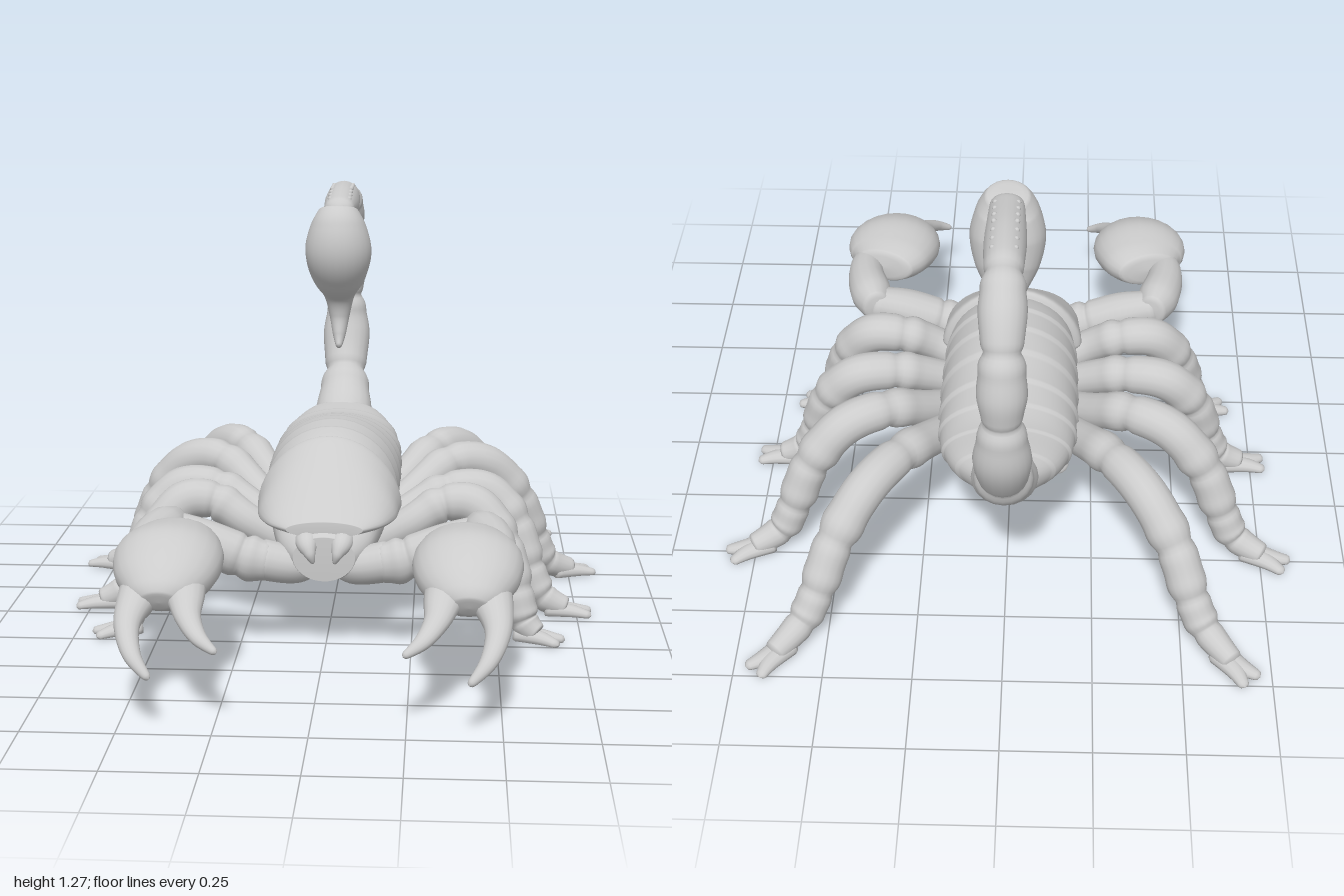
import * as THREE from 'three';

const V = (x, y, z) => new THREE.Vector3(x, y, z);
const UP = V(0, 1, 0), X = V(1, 0, 0);
const material = new THREE.MeshStandardMaterial({ color: 0xcccccc });

// Smooth interpolation through rows of numbers; u runs from 0 to rows.length - 1
function sample(rows, u) {
  const n = rows.length - 1, i = Math.min(Math.floor(u), n - 1), t = u - i;
  const [a, b, c, d] = [-1, 0, 1, 2].map(k => rows[Math.max(0, Math.min(n, i + k))]);
  return b.map((q, k) => q + 0.5 * t * (c[k] - a[k]
    + t * (2 * a[k] - 5 * q + 4 * c[k] - d[k] + t * (3 * (q - c[k]) + d[k] - a[k]))));
}

// Closed skin over equal rings of points, each counter-clockwise about the travel direction
function skin(rings) {
  const m = rings[0].length, n = rings.length, pos = [], idx = [];
  const put = p => pos.push(p.x, Math.max(0, p.y), p.z);
  rings.forEach(r => r.forEach(put));
  for (const r of [rings[0], rings[n - 1]]) {
    put(r.reduce((s, p) => s.add(p), V(0, 0, 0)).divideScalar(m));
  }
  for (let j = 0; j < m; j++) {
    const k = (j + 1) % m, e = (n - 1) * m;
    for (let i = 0; i < n - 1; i++) {
      const a = i * m + j, b = i * m + k;
      idx.push(a, b, a + m, b, b + m, a + m);
    }
    idx.push(n * m, k, j, n * m + 1, e + j, e + k);
  }
  const g = new THREE.BufferGeometry();
  g.setAttribute('position', new THREE.Float32BufferAttribute(pos, 3));
  g.setIndex(idx);
  g.computeVertexNormals();
  return g;
}

function add(parent, name, geometry) {
  const mesh = new THREE.Mesh(geometry, material);
  mesh.name = name;
  parent.add(mesh);
  return mesh;
}

// Rounded limb through rows [x, y, z, sideRadius, otherRadius], pinched at the joint indices
function limb(rows, { side, joints = [], pinch = 0.18, round = 0.25, steps = 12, sides = 16 } = {}) {
  const n = rows.length - 1, at = u => V(...sample(rows, u).slice(0, 3));
  side ??= at(n).sub(at(0)).cross(UP).normalize();
  const rings = [];
  for (let i = 0; i <= n * steps; i++) {
    const u = i / steps, [x, y, z, rw, rh] = sample(rows, u);
    const T = at(Math.min(n, u + 0.05)).sub(at(Math.max(0, u - 0.05))).normalize();
    const s = side.clone().addScaledVector(T, -side.dot(T)).normalize(), b = T.clone().cross(s);
    const end = Math.min(1, Math.min(u, n - u) / round);
    let f = Math.max(0.1, Math.sqrt(1 - (1 - end) ** 2));
    for (const j of joints) {
      f *= 1 - pinch * Math.exp(-(((u - j) / 0.1) ** 2)) + 0.07 * Math.exp(-(((u - j + 0.3) / 0.15) ** 2));
    }
    rings.push(Array.from({ length: sides }, (_, k) => {
      const a = k / sides * Math.PI * 2;
      return V(x, y, z).addScaledVector(s, Math.cos(a) * rw * f).addScaledVector(b, Math.sin(a) * rh * f);
    }));
  }
  return skin(rings);
}

// Body shell from rows [z, halfWidth, top, middle, bottom], back to front
function shell(rows, power, ripple = () => 1, steps = 20, sides = 40) {
  const rings = [];
  for (let i = 0; i <= (rows.length - 1) * steps; i++) {
    const [z, w, top, mid, bot] = sample(rows, i / steps), f = ripple(z);
    rings.push(Array.from({ length: sides }, (_, k) => {
      const a = k / sides * Math.PI * 2, s = Math.sin(a);
      const y = s > 0 ? mid + (top - mid) * f * s ** power : mid + (mid - bot) * s;
      return V(w * f * Math.cos(a), y, z);
    }));
  }
  return skin(rings);
}

export function createModel() {
  const model = new THREE.Group();
  model.name = 'scorpion';

  // Abdomen with seven overlapping back plates
  const plates = z => (z < 0.05 && z > -0.65) ? 0.985 + 0.03 * (((0.05 - z) / 0.1) % 1) ** 2 : 0.985;
  add(model, 'abdomen', shell([
    [-0.72, 0.08, 0.545, 0.49, 0.42], [-0.62, 0.155, 0.54, 0.46, 0.375], [-0.5, 0.192, 0.537, 0.43, 0.32],
    [-0.35, 0.203, 0.56, 0.4, 0.28], [-0.15, 0.203, 0.59, 0.39, 0.25], [0.02, 0.195, 0.575, 0.38, 0.23],
    [0.15, 0.17, 0.5, 0.35, 0.22], [0.28, 0.14, 0.4, 0.32, 0.21], [0.35, 0.09, 0.35, 0.29, 0.22],
  ], 1, plates));

  // Head shield
  add(model, 'carapace', shell([
    [0.04, 0.195, 0.565, 0.38, 0.33], [0.06, 0.214, 0.58, 0.378, 0.33], [0.12, 0.21, 0.545, 0.375, 0.33],
    [0.2, 0.2, 0.485, 0.372, 0.33], [0.28, 0.165, 0.43, 0.37, 0.34], [0.335, 0.11, 0.39, 0.368, 0.345],
  ], 1.15));

  // Tail of five segments curling over the back
  const tail = [
    [0, 0.47, -0.64, 0.09, 0.07], [0, 0.51, -0.73, 0.092, 0.075], [0, 0.61, -0.835, 0.07, 0.066],
    [0, 0.735, -0.905, 0.078, 0.069], [0, 0.86, -0.917, 0.055, 0.053], [0, 0.95, -0.911, 0.066, 0.065],
    [0, 1.06, -0.885, 0.055, 0.054], [0, 1.15, -0.825, 0.063, 0.06], [0, 1.21, -0.755, 0.052, 0.05],
    [0, 1.2, -0.59, 0.056, 0.064], [0, 1.205, -0.4, 0.045, 0.03],
  ];
  add(model, 'tail', limb(tail, { side: X, joints: [2, 4, 6, 8], pinch: 0.13, sides: 20 }));
  add(model, 'stinger', limb([
    [0, 1.215, -0.39, 0.055, 0.05], [0, 1.16, -0.378, 0.086, 0.085], [0, 1.08, -0.383, 0.104, 0.102],
    [0, 1.0, -0.415, 0.088, 0.085], [0, 0.93, -0.45, 0.05, 0.05], [0, 0.86, -0.458, 0.032, 0.036],
    [0, 0.8, -0.438, 0.02, 0.026], [0, 0.765, -0.41, 0.008, 0.01],
  ], { side: X, sides: 24 }));

  // Small bumps in two rows along the last tail segment
  for (const x of [-0.03, 0.03]) {
    for (let i = 0; i < 7; i++) {
      add(model, 'tailBump', new THREE.SphereGeometry(0.008, 8, 6))
        .position.set(x, 1.252 - 0.02 * Math.max(0, i - 3) / 3, -0.7 + i * 0.04);
    }
  }

  // Leg paths from the hip to the forefoot, for the left side
  const legs = [
    [[0.12, 0.26, 0.1], [0.24, 0.33, 0.11], [0.34, 0.385, 0.085], [0.44, 0.38, 0.09],
      [0.515, 0.28, 0.125], [0.555, 0.15, 0.165], [0.58, 0.06, 0.18], [0.62, 0.022, 0.196]],
    [[0.12, 0.26, 0], [0.24, 0.33, -0.05], [0.35, 0.38, -0.095], [0.47, 0.375, -0.115],
      [0.555, 0.28, -0.1], [0.6, 0.15, -0.08], [0.645, 0.06, -0.072], [0.72, 0.022, -0.068]],
    [[0.12, 0.25, -0.08], [0.24, 0.34, -0.22], [0.36, 0.415, -0.325], [0.48, 0.395, -0.38],
      [0.575, 0.285, -0.415], [0.63, 0.15, -0.443], [0.675, 0.06, -0.46], [0.76, 0.022, -0.498]],
    [[0.1, 0.25, -0.14], [0.2, 0.34, -0.34], [0.305, 0.41, -0.525], [0.395, 0.39, -0.65],
      [0.475, 0.28, -0.74], [0.525, 0.15, -0.805], [0.57, 0.065, -0.85], [0.645, 0.022, -0.935]],
  ];
  const legRadius = [0.048, 0.052, 0.057, 0.06, 0.058, 0.052, 0.045, 0.032];

  for (const s of [1, -1]) {
    const label = s > 0 ? 'left' : 'right';
    const flip = rows => rows.map(([x, ...rest]) => [x * s, ...rest]);

    legs.forEach((path, i) => {
      const leg = new THREE.Group();
      leg.name = `${label}Leg${i + 1}`;
      model.add(leg);
      const rows = flip(path.map((p, k) => [...p, legRadius[k], legRadius[k]]));
      add(leg, 'limb', limb(rows, { joints: [2, 4, 5, 6], pinch: 0.12, round: 0.15 }));

      // Flat-soled forefoot flaring into two short toes
      const [a, b] = rows.slice(-2).map(r => V(...r.slice(0, 3)));
      const dir = b.clone().sub(a).setY(0).normalize(), across = dir.clone().cross(UP);
      for (const k of [-1, 1]) {
        const toe = [[-0.07, 0.004, 0.036], [0.015, 0.011, 0.027], [0.075, 0.03, 0.014]].map(([d, o, r]) => {
          const p = b.clone().addScaledVector(dir, d).addScaledVector(across, o * k);
          return [p.x, r * 0.5, p.z, r, r * 0.8];
        });
        add(leg, 'toe', limb(toe, { sides: 12, steps: 8 }));
      }

      // Hip plate running to the middle of the belly
      const [hx, hy, hz] = path[0], inZ = 0.09 - i * 0.055;
      add(leg, 'hip', limb(flip([
        [0.015, 0.23, inZ, 0.03, 0.03], [0.07, 0.23, (inZ + hz) / 2, 0.04, 0.04],
        [hx + 0.05, hy + 0.01, hz, 0.045, 0.045],
      ])));
    });

    // Pincer arm: base, upper arm and forearm
    const arm = new THREE.Group();
    arm.name = `${label}Pincer`;
    model.add(arm);
    add(arm, 'armBase', limb(flip([
      [0.03, 0.25, 0.2, 0.04, 0.045], [0.09, 0.25, 0.28, 0.055, 0.065], [0.2, 0.275, 0.31, 0.06, 0.06],
    ]), { side: UP }));
    add(arm, 'upperArm', limb(flip([
      [0.15, 0.265, 0.315, 0.055, 0.05], [0.24, 0.28, 0.31, 0.066, 0.062],
      [0.35, 0.325, 0.305, 0.06, 0.064], [0.465, 0.36, 0.285, 0.05, 0.048],
    ]), { side: UP, joints: [1], pinch: 0.12 }));
    add(arm, 'forearm', limb(flip([
      [0.435, 0.36, 0.25, 0.05, 0.04], [0.458, 0.36, 0.32, 0.066, 0.064],
      [0.482, 0.36, 0.41, 0.062, 0.06], [0.488, 0.365, 0.49, 0.048, 0.05], [0.47, 0.365, 0.55, 0.035, 0.035],
    ]), { side: UP }));

    // Hand and its two curved fingers
    add(arm, 'hand', limb(flip([
      [0.435, 0.38, 0.45, 0.09, 0.05], [0.415, 0.373, 0.52, 0.132, 0.075], [0.408, 0.355, 0.61, 0.151, 0.096],
      [0.408, 0.33, 0.7, 0.135, 0.084], [0.41, 0.305, 0.77, 0.09, 0.058], [0.41, 0.29, 0.8, 0.045, 0.03],
    ]), { side: X, sides: 24 }));
    add(arm, 'outerFinger', limb(flip([
      [0.445, 0.322, 0.66, 0.08, 0.065], [0.475, 0.285, 0.77, 0.053, 0.044], [0.485, 0.245, 0.86, 0.035, 0.029],
      [0.46, 0.195, 0.945, 0.024, 0.021], [0.41, 0.145, 0.99, 0.01, 0.01],
    ]), { side: X }));
    add(arm, 'innerFinger', limb(flip([
      [0.37, 0.33, 0.66, 0.08, 0.06], [0.342, 0.298, 0.77, 0.053, 0.04], [0.325, 0.268, 0.85, 0.035, 0.027],
      [0.29, 0.235, 0.915, 0.023, 0.019], [0.24, 0.205, 0.95, 0.009, 0.009],
    ]), { side: X }));

    // Mouth fangs below the front of the shield
    add(model, `${label}Fang`, limb(flip([
      [0.05, 0.345, 0.26, 0.035, 0.03], [0.05, 0.33, 0.33, 0.034, 0.03],
      [0.04, 0.305, 0.36, 0.018, 0.018], [0.03, 0.275, 0.36, 0.005, 0.005],
    ]), { side: X }));

    // Comb lobe under the belly
    add(model, `${label}Comb`, limb(flip([
      [0.02, 0.25, -0.14, 0.03, 0.03], [0.08, 0.235, -0.23, 0.045, 0.04],
      [0.13, 0.235, -0.3, 0.045, 0.042], [0.15, 0.25, -0.37, 0.03, 0.035],
    ])));
  }
  return model;
}
